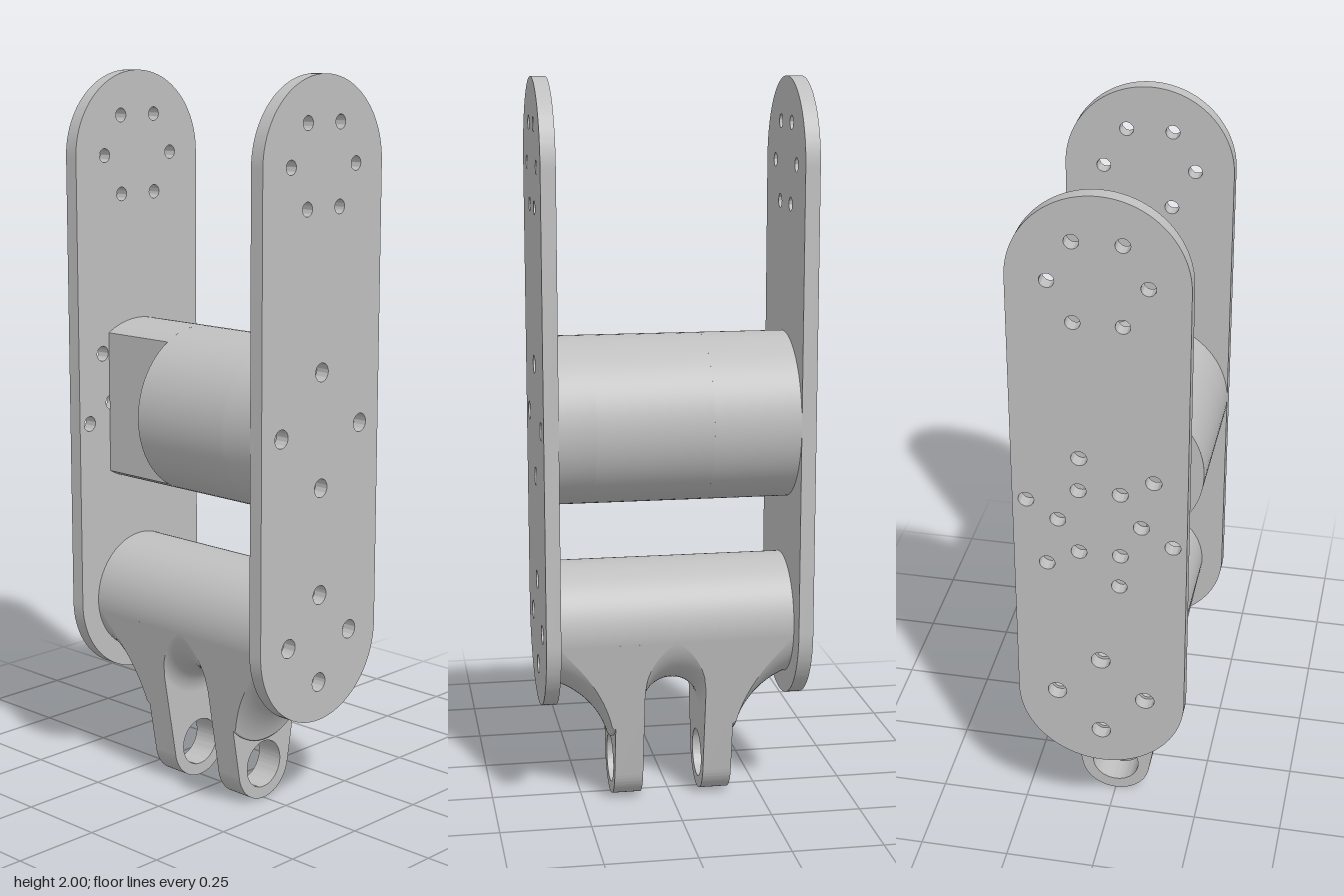
import * as THREE from 'three';
import { toCreasedNormals } from 'three/addons/utils/BufferGeometryUtils.js';
import { ParametricGeometry } from 'three/addons/geometries/ParametricGeometry.js';

const PLATE_R = 0.23, LOW = 0.51, HIGH = 1.77, MOTOR_Y = 1.08;
const HUB_R = 0.17, EAR_R = 0.1, EAR_Y = 0.1;

export function createModel() {
  const model = new THREE.Group();
  const metal = new THREE.MeshStandardMaterial({ color: 0xbfbfbf, side: THREE.DoubleSide });
  metal.name = 'grey metal';

  const add = (name, geometry, parent = model) => {
    const mesh = new THREE.Mesh(geometry, metal);
    mesh.name = name;
    parent.add(mesh);
    return mesh;
  };

  // Extrudes a shape between two z positions with smooth curved walls
  const slab = (shape, z0, z1) => {
    const g = new THREE.ExtrudeGeometry(shape, { depth: z1 - z0, bevelEnabled: false, curveSegments: 40 });
    g.translate(0, 0, z0);
    return toCreasedNormals(g, 0.5);
  };
  const punch = (shape, points, r) => {
    for (const [x, y] of points) shape.holes.push(new THREE.Path().absarc(x, y, r, 0, Math.PI * 2, true));
    return shape;
  };
  const ring = (count, r, y, start = 0) => Array.from({ length: count }, (_, i) => {
    const a = start + i * Math.PI * 2 / count;
    return [r * Math.cos(a), y + r * Math.sin(a)];
  });
  const disc = (y, r) => new THREE.Shape().absarc(0, y, r, 0, Math.PI * 2, false);

  const topHoles = ring(6, 0.125, HIGH);
  const motorHoles = ring(4, 0.155, MOTOR_Y);
  const hubHoles = ring(4, 0.122, LOW);

  // Side plates: long rounded bars with bolt holes
  const plateShape = () => {
    const s = new THREE.Shape();
    s.absarc(0, HIGH, PLATE_R, 0, Math.PI, false);
    s.absarc(0, LOW, PLATE_R, Math.PI, Math.PI * 2, false);
    s.closePath();
    punch(s, topHoles, 0.019);
    return punch(s, hubHoles, 0.026);
  };
  add('frontPlate', slab(punch(plateShape(), motorHoles, 0.025), 0.325, 0.365));
  const backHoles = [...ring(6, 0.11, MOTOR_Y), ...ring(6, 0.2, MOTOR_Y, Math.PI / 4)]
    .map(([x, y]) => [-x, y]);
  add('backPlate', slab(punch(plateShape(), backHoles, 0.021), -0.365, -0.325));

  // Motor: drilled front, plain middle, and a back part cut flat on one side
  const motor = new THREE.Group();
  motor.name = 'motor';
  model.add(motor);
  add('motorFront', slab(punch(disc(MOTOR_Y, PLATE_R), motorHoles, 0.014), 0.225, 0.325), motor);
  add('motorMiddle', slab(disc(MOTOR_Y, PLATE_R), -0.09, 0.225), motor);
  const cut = Math.acos(-0.117 / PLATE_R);
  const cutShape = new THREE.Shape().absarc(0, MOTOR_Y, PLATE_R, -cut, cut, false);
  cutShape.closePath();
  add('motorBack', slab(cutShape, -0.325, -0.09), motor);
  add('motorBoss', slab(disc(MOTOR_Y, 0.148), -0.1, -0.09), motor);

  // Fork: drilled hub, two ears and curved webs blending them together
  const fork = new THREE.Group();
  fork.name = 'fork';
  model.add(fork);
  add('hub', slab(punch(disc(LOW, HUB_R), hubHoles, 0.018), -0.325, 0.325), fork);

  const slope = (HUB_R - EAR_R) / (LOW - EAR_Y);   // sine of the ear's taper
  const taper = Math.asin(slope);
  const phi0 = Math.PI / 2 - taper;                // tangent point, measured from straight down
  const ear = new THREE.Shape();
  ear.moveTo(HUB_R * Math.cos(taper), LOW - HUB_R * slope);
  ear.lineTo(-HUB_R * Math.cos(taper), LOW - HUB_R * slope);
  ear.absarc(0, EAR_Y, EAR_R, Math.PI + taper, Math.PI * 2 - taper, false);
  ear.closePath();
  punch(ear, [[0, EAR_Y]], 0.067);
  punch(ear, [hubHoles[3]], 0.018);
  for (const [name, z] of [['leftEar', 0.085], ['rightEar', -0.165]]) add(name, slab(ear, z, z + 0.08), fork);

  // A web's underside is the hub's curve lowered by drop(z); its sides follow the taper
  const edge = d => phi0 - Math.acos(1 - slope * d / HUB_R);
  const under = (phi, d) => [HUB_R * Math.sin(phi), LOW - d - HUB_R * Math.cos(phi)];
  const addWeb = (name, z0, z1, drop) => {
    const web = new THREE.Group();
    web.name = name;
    fork.add(web);
    add('underside', new ParametricGeometry((u, v, p) => {
      const z = z0 + (z1 - z0) * v, d = drop(z);
      const [x, y] = under(edge(d) * (2 * u - 1), d);
      p.set(x, y, z);
    }, 24, 32), web);
    for (const side of [-1, 1]) {
      add('side', new ParametricGeometry((u, v, p) => {
        const z = z0 + (z1 - z0) * v, d = drop(z);
        const t = side > 0 ? u : 1 - u;
        const [ex, ey] = under(edge(d), d), [tx, ty] = under(phi0, 0);
        p.set(side * (ex + (tx - ex) * t), ey + (ty - ey) * t, z);
      }, 2, 32), web);
    }
  };
  const outerDrop = z => {
    const dz = 0.415 - Math.abs(z);
    return Math.min(0.165, Math.max(0, 0.23 - Math.sqrt(Math.max(0, 0.0625 - dz * dz))));
  };
  addWeb('frontWeb', 0.165, 0.325, outerDrop);
  addWeb('backWeb', -0.325, -0.165, outerDrop);
  addWeb('middleArch', -0.085, 0.085, z => 0.085 - Math.sqrt(Math.max(0, 0.085 * 0.085 - z * z)));

  return model;
}
